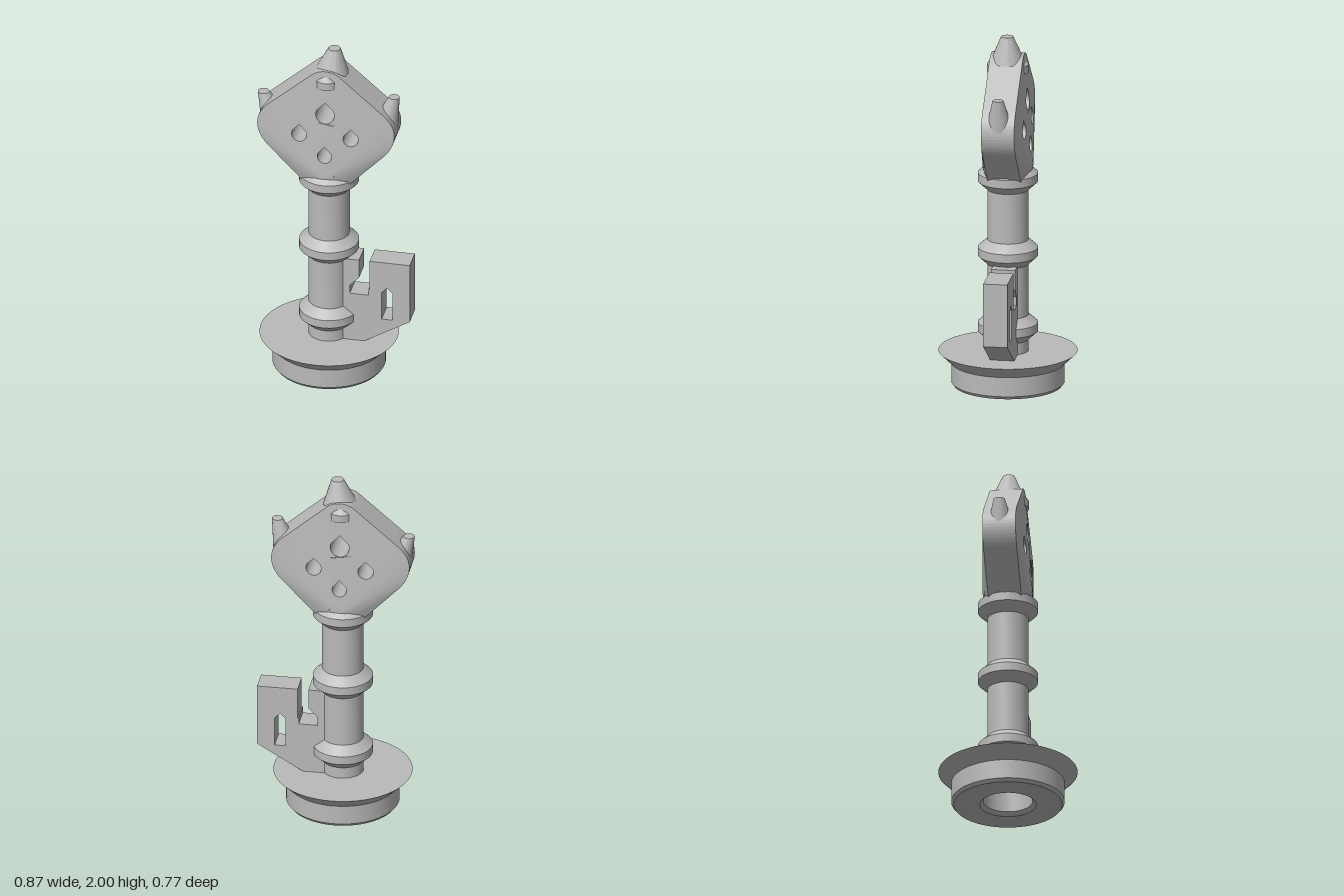
import * as THREE from 'three';
import { toCreasedNormals } from 'three/addons/utils/BufferGeometryUtils.js';

const AXIS = -0.037; // x of the shaft's centre line
const V = (x, y) => new THREE.Vector2(x, y);
const metal = new THREE.MeshStandardMaterial({ color: 0xbababa });
metal.name = 'light grey metal';

function part(name, geometry, crease = 0.5) {
  const mesh = new THREE.Mesh(toCreasedNormals(geometry, crease), metal);
  mesh.name = name;
  return mesh;
}

function turned(name, points) {
  return part(name, new THREE.LatheGeometry(points.map(p => V(...p)), 64));
}

// Split every triangle into four, several times
function subdivide(geometry, levels) {
  const flat = geometry.index ? geometry.toNonIndexed() : geometry;
  let src = Array.from(flat.attributes.position.array);
  for (let l = 0; l < levels; l++) {
    const out = [];
    for (let i = 0; i < src.length; i += 9) {
      const [a, b, c] = [0, 3, 6].map(k => src.slice(i + k, i + k + 3));
      const mid = (p, q) => p.map((v, k) => (v + q[k]) / 2);
      const ab = mid(a, b), bc = mid(b, c), ca = mid(c, a);
      out.push(...a, ...ab, ...ca, ...ab, ...b, ...bc, ...ca, ...bc, ...c, ...ab, ...bc, ...ca);
    }
    src = out;
  }
  const g = new THREE.BufferGeometry();
  g.setAttribute('position', new THREE.Float32BufferAttribute(src, 3));
  return g;
}

// Teardrop hole: round below, pointed above
function teardrop(x, y, r, tip) {
  const pts = [V(x, tip)];
  for (let i = 0; i <= 18; i++) {
    const a = Math.PI * (0.83 + (i / 18) * 1.34);
    pts.push(V(x + r * Math.cos(a), y + r * Math.sin(a)));
  }
  return new THREE.Path(pts);
}

// Rounded diamond slab that swells towards the round neck below it
function headGeometry() {
  const outline = new THREE.Shape();
  outline.moveTo(-0.07, 1.13);
  outline.lineTo(0.07, 1.13);
  outline.lineTo(0.325, 1.395);
  outline.bezierCurveTo(0.405, 1.48, 0.405, 1.584, 0.325, 1.654);
  outline.lineTo(0.077, 1.87);
  outline.bezierCurveTo(0.035, 1.907, -0.035, 1.907, -0.077, 1.87);
  outline.lineTo(-0.325, 1.654);
  outline.bezierCurveTo(-0.405, 1.584, -0.405, 1.48, -0.325, 1.395);
  outline.closePath();
  const edge = outline.getPoints(14);
  outline.holes.push(
    teardrop(0, 1.632, 0.053, 1.706),
    teardrop(-0.145, 1.495, 0.043, 1.555),
    teardrop(0.145, 1.495, 0.043, 1.555),
    teardrop(0, 1.377, 0.04, 1.437));
  const geo = subdivide(new THREE.ExtrudeGeometry(outline, { depth: 1, bevelEnabled: false, curveSegments: 14 }), 3);

  // Half thickness: straight lines from the neck circle to the slab's edge
  const necks = [45, 62, 90, 118, 135].map(d => {
    const a = THREE.MathUtils.degToRad(d);
    const ax = 0.14 * Math.cos(a), ay = 1.22;
    const planes = [];
    edge.forEach((p, i) => {
      const q = edge[(i + 1) % edge.length];
      const nx = q.y - p.y, ny = p.x - q.x;
      const dist = nx * (p.x - ax) + ny * (p.y - ay);
      if (Math.hypot(nx, ny) > 1e-6) planes.push([nx / dist, ny / dist]);
    });
    return { ax, ay, rise: 0.14 * Math.sin(a) - 0.092, planes };
  });
  const half = (x, y) => 0.092 + Math.max(0, ...necks.map(n => {
    let t = 0;
    for (const [px, py] of n.planes) t = Math.max(t, px * (x - n.ax) + py * (y - n.ay));
    return n.rise * (1 - t);
  }));
  const pos = geo.attributes.position;
  for (let i = 0; i < pos.count; i++) {
    pos.setZ(i, (pos.getZ(i) - 0.5) * 2 * half(pos.getX(i), pos.getY(i)));
  }
  return geo;
}

// Blunt cone whose centre line leans from (x0, y0) to (x1, y1)
function spike(name, x0, y0, r0, x1, y1, r1) {
  const g = new THREE.CylinderGeometry(r1, r0, y1 - y0, 40);
  const pos = g.attributes.position;
  for (let i = 0; i < pos.count; i++) {
    const t = pos.getY(i) / (y1 - y0) + 0.5;
    pos.setX(i, pos.getX(i) + x0 + (x1 - x0) * t);
  }
  g.translate(0, (y0 + y1) / 2, 0);
  return part(name, g);
}

export function createModel() {
  const model = new THREE.Group();
  model.name = 'key';

  // Parts centred on the shaft
  const body = new THREE.Group();
  body.name = 'body';
  body.position.x = AXIS;
  model.add(body);

  body.add(turned('base', [
    [0, 0.17], [0.135, 0.17], [0.135, 0.02], [0.155, 0], [0.298, 0],
    [0.312, 0.018], [0.312, 0.128], [0.383, 0.197], [0, 0.197]]));

  // Shaft with three bevelled collars
  const profile = [[0.114, 0.19]];
  for (const y of [0.333, 0.764, 1.19]) {
    profile.push([0.114, y - 0.071], [0.165, y - 0.024], [0.165, y + 0.024], [0.114, y + 0.07]);
  }
  profile[profile.length - 1] = [0.135, 1.24];
  profile.push([0, 1.24]);
  body.add(turned('shaft', profile));

  body.add(part('head', headGeometry(), 0.45));

  // Small knobs on the front and back of the head
  for (const side of [1, -1]) {
    const knob = turned(side > 0 ? 'frontKnob' : 'backKnob', [
      [0, 1.79], [0.075, 1.79], [0.075, 1.835], [0.035, 1.89], [0, 1.89]]);
    knob.position.z = 0.04 * side;
    body.add(knob);
  }

  // Spikes on the head
  model.add(
    spike('topSpike', -0.025, 1.85, 0.097, -0.007, 2, 0.034),
    spike('leftSpike', 0.275, 1.55, 0.075, 0.328, 1.73, 0.03),
    spike('rightSpike', -0.345, 1.53, 0.075, -0.405, 1.68, 0.032));

  // Key bit with a hooked notch and a pointed window
  const bit = new THREE.Shape([
    [-0.02, 0.197], [0.177, 0.197], [0.43, 0.347], [0.43, 0.706], [0.204, 0.706],
    [0.204, 0.527], [0.198, 0.527], [0.198, 0.49], [0.093, 0.49], [0.093, 0.54],
    [0.145, 0.595], [0.145, 0.706], [-0.02, 0.706]].map(p => V(...p)));
  bit.holes.push(new THREE.Path([
    [0.272, 0.347], [0.272, 0.515], [0.302, 0.548], [0.332, 0.515], [0.332, 0.347]].map(p => V(...p))));
  const bitGeo = new THREE.ExtrudeGeometry(bit, { depth: 0.134, bevelEnabled: false });
  bitGeo.translate(0, 0, -0.067);
  model.add(part('bit', bitGeo, 0.2));

  return model;
}
